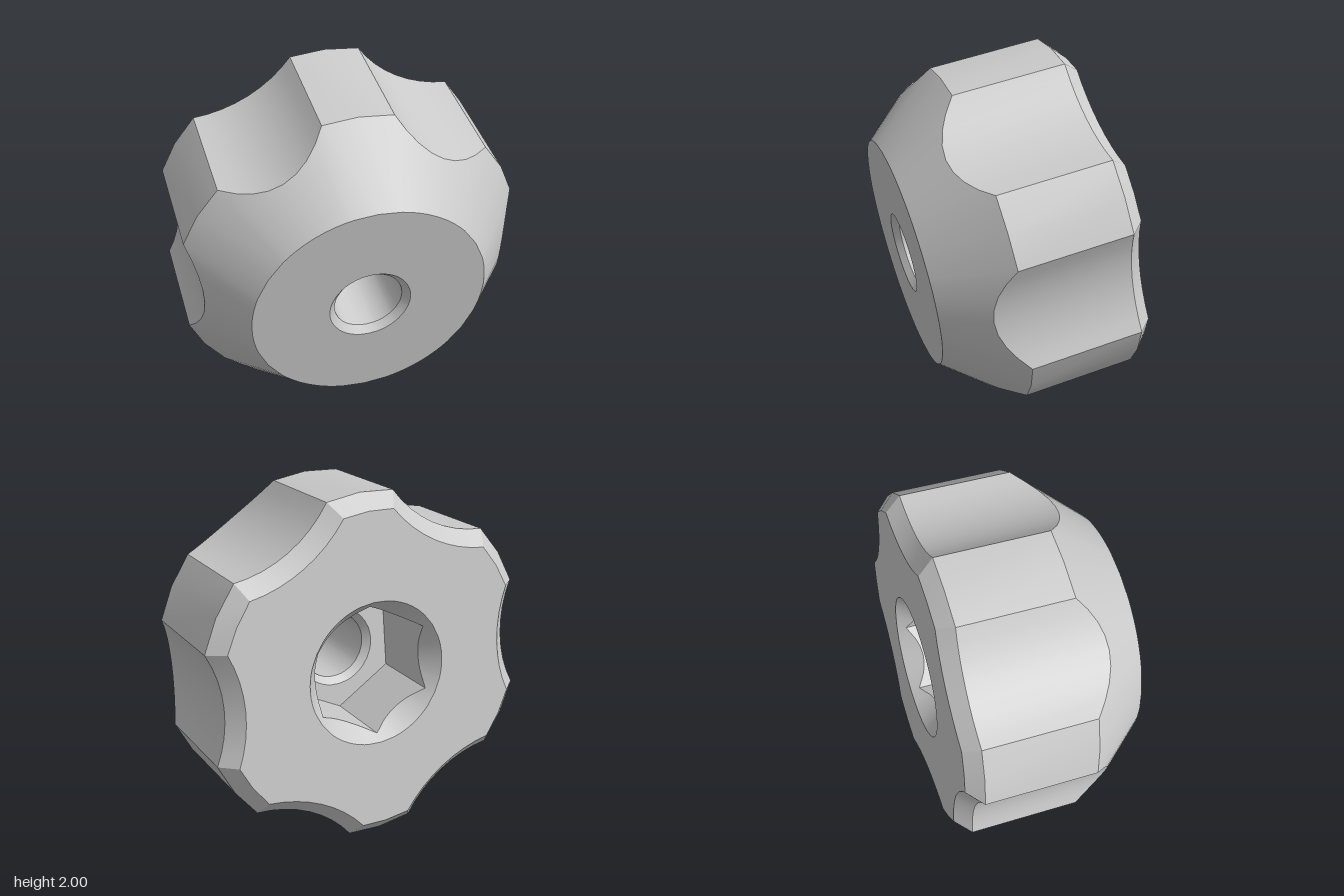
import * as THREE from 'three';
import { toCreasedNormals } from 'three/addons/utils/BufferGeometryUtils.js';

const R = 0.966;            // lobe radius
const DIST = 1.555;         // distance of the scallop axes from the knob axis
const SCALLOP = 0.71;       // scallop radius
const FRONT_R = 0.646;      // flat front face
const CONE = 0.378 / (R - FRONT_R);
const BACK = -1.0755;
const CHAMFER = 0.082;
const FLOOR = -0.605;       // floor of the hexagonal pocket
const MOUTH = 0.4;
const APOTHEM = 0.316;
const STEP = Math.PI / 3;

// Six-lobed outline, inset by the given distance, as polar points
function outline(inset) {
  const r = R - inset, s = SCALLOP + inset;
  const half = Math.acos((r * r + DIST * DIST - s * s) / (2 * r * DIST));
  const sweep = Math.asin(r * Math.sin(half) / s);
  const points = [];
  for (let k = 0; k < 6; k++) {
    for (let i = 0; i < 8; i++) {
      const t = sweep * (i / 4 - 1);
      const x = DIST - s * Math.cos(t), y = s * Math.sin(t);
      points.push({ a: k * STEP + Math.atan2(y, x), r: Math.hypot(x, y) });
    }
    for (let i = 0; i < 2; i++) {
      points.push({ a: k * STEP + half + (STEP - 2 * half) * i / 2, r });
    }
  }
  return points;
}

const rim = outline(0);
const backRim = outline(CHAMFER);

// Rings of points: z is the position along the axis
const ring = (points, z) => points.map((p) => [
  p.r * Math.cos(p.a), p.r * Math.sin(p.a), typeof z === 'function' ? z(p.r) : z]);
const circle = (r, z) => ring(rim.map((p) => ({ a: p.a, r })), z);
const hexagon = (z) => ring(rim.map((p) => {
  const k = Math.round(p.a / STEP);
  return { a: p.a, r: APOTHEM / Math.cos(p.a - k * STEP) };
}), z);

// Skin joining successive rings
function loft(name, rings, material) {
  const n = rim.length, positions = rings.flat(2), index = [];
  for (let i = 0; i < rings.length - 1; i++) {
    for (let j = 0; j < n; j++) {
      const a = i * n + j, b = i * n + (j + 1) % n;
      index.push(a, a + n, b + n, a, b + n, b);
    }
  }
  const geometry = new THREE.BufferGeometry();
  geometry.setAttribute('position', new THREE.Float32BufferAttribute(positions, 3));
  geometry.setIndex(index);
  const mesh = new THREE.Mesh(toCreasedNormals(geometry, 0.5), material);
  mesh.name = name;
  return mesh;
}

export function createModel() {
  const material = new THREE.MeshStandardMaterial({ color: 0xcccccc });
  const knob = new THREE.Group();
  knob.name = 'knob';

  // Front face, conical shoulder cut by the scallops, grip, back chamfer, back face
  knob.add(loft('gripBody', [
    circle(0.225, 0),
    circle(FRONT_R, 0),
    ring(rim, (r) => -(r - FRONT_R) * CONE),
    ring(rim, BACK + CHAMFER),
    ring(backRim, BACK),
    circle(MOUTH, BACK),
  ], material));

  // Hexagonal nut pocket with a conical mouth
  knob.add(loft('nutPocket', [
    circle(MOUTH, BACK),
    hexagon((r) => BACK + (MOUTH - r) * 1.3),
    hexagon(FLOOR),
    circle(0.225, FLOOR),
  ], material));

  // Through bore, chamfered at both ends
  knob.add(loft('bore', [
    circle(0.225, FLOOR),
    circle(0.188, FLOOR + 0.037),
    circle(0.188, -0.037),
    circle(0.225, 0),
  ], material));

  // Tilted so that the front looks slightly down
  knob.rotation.x = THREE.MathUtils.degToRad(8);
  knob.position.set(0, 0.905, 0.55);

  const model = new THREE.Group();
  model.name = 'tiltedKnob';
  model.add(knob);
  return model;
}
